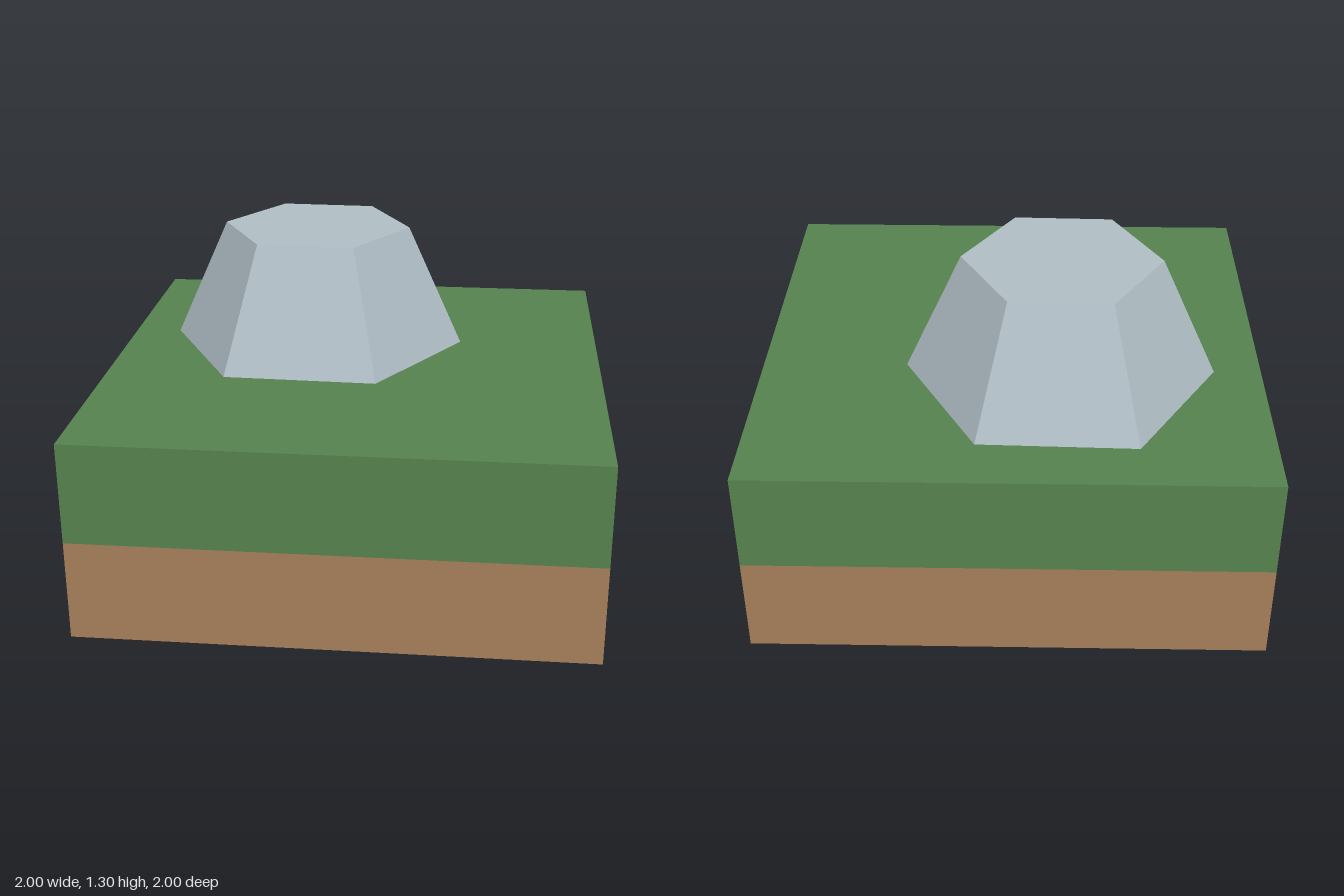
import * as THREE from 'three';

function addPart(group, name, geometry, color, x, y, z) {
  const material = new THREE.MeshStandardMaterial({ color, flatShading: true });
  const mesh = new THREE.Mesh(geometry, material);
  mesh.name = name;
  mesh.position.set(x, y, z);
  group.add(mesh);
  return mesh;
}

export function createModel() {
  const group = new THREE.Group();
  group.name = 'rockTile';

  // Square ground tile in two equal layers
  const layer = 0.4;
  addPart(group, 'soil', new THREE.BoxGeometry(2, layer, 2), 0xa67f5a, 0, layer / 2, 0);
  addPart(group, 'grass', new THREE.BoxGeometry(2, layer, 2), 0x55824e, 0, layer * 1.5, 0);

  // Tapered six-sided rock, off-centre and turned slightly
  const height = 0.5;
  const rockGeometry = new THREE.CylinderGeometry(0.39, 0.617, height, 6);
  const rock = addPart(group, 'rock', rockGeometry, 0xb0bec5, -0.195, layer * 2 + height / 2, -0.24);
  rock.rotation.y = THREE.MathUtils.degToRad(28.5);

  return group;
}
